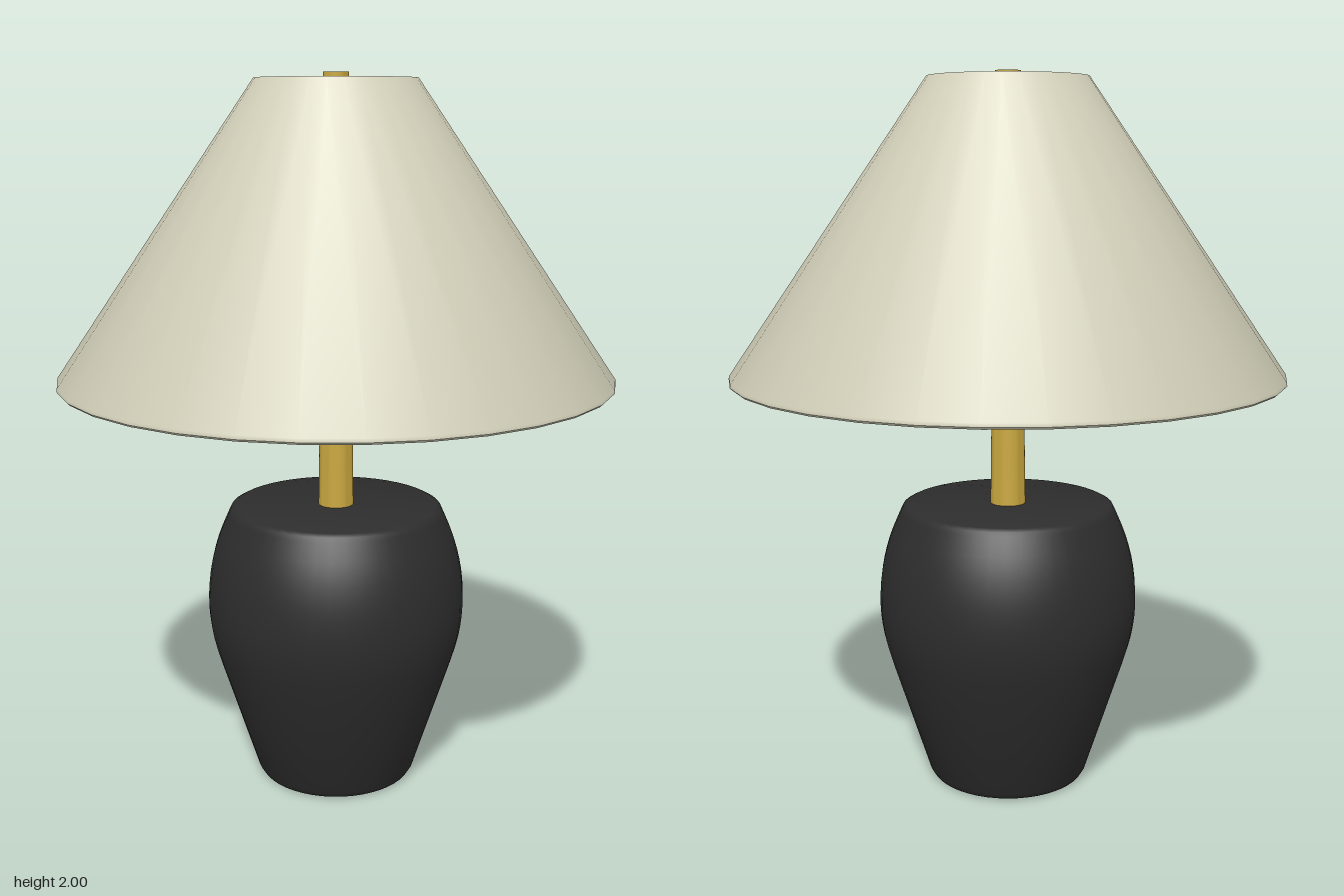
import * as THREE from 'three';
import { toCreasedNormals } from 'three/addons/utils/BufferGeometryUtils.js';

const ivory = new THREE.MeshStandardMaterial({ name: 'ivory', color: 0xd4d2bb });
const brass = new THREE.MeshStandardMaterial({ name: 'brass', color: 0xcaa73f });
const charcoal = new THREE.MeshStandardMaterial({ name: 'charcoal', color: 0x2d2d2e });

// Spin a [radius, height] profile around y, keeping hard corners sharp
function turned(name, profile, sides, material, crease = 0.6) {
  const points = profile.map(([r, y]) => new THREE.Vector2(r, y));
  const geometry = toCreasedNormals(new THREE.LatheGeometry(points, sides), crease);
  const mesh = new THREE.Mesh(geometry, material);
  mesh.name = name;
  return mesh;
}

export function createModel() {
  const lamp = new THREE.Group();
  lamp.name = 'tableLamp';

  // Vase-shaped base: straight lower taper, rounded belly and shoulder
  const belly = new THREE.SplineCurve([
    [0.332, 0.34], [0.357, 0.43], [0.367, 0.52], [0.36, 0.62], [0.338, 0.71], [0.305, 0.79],
  ].map(([r, y]) => new THREE.Vector2(r, y))).getPoints(15).map((p) => [p.x, p.y]);
  lamp.add(turned('base', [
    [0, 0], [0.207, 0], [0.22, 0.006], [0.23, 0.022],
    ...belly,
    [0.299, 0.803], [0.286, 0.81], [0, 0.81],
  ], 48, charcoal, 0.8));

  // Tapered stem running through the shade and ending as a small cap
  lamp.add(turned('stem', [[0, 0.78], [0.05, 0.78], [0.035, 2], [0, 2]], 32, brass));

  // Hollow conical shade with a closed top and thin rolled rim
  lamp.add(turned('shade', [
    [0, 1.97], [0.21, 1.97], [0.748, 1.18], [0.752, 1.172], [0.762, 1.172],
    [0.768, 1.178], [0.767, 1.187], [0.219, 1.985], [0, 1.985],
  ], 32, ivory));

  return lamp;
}
